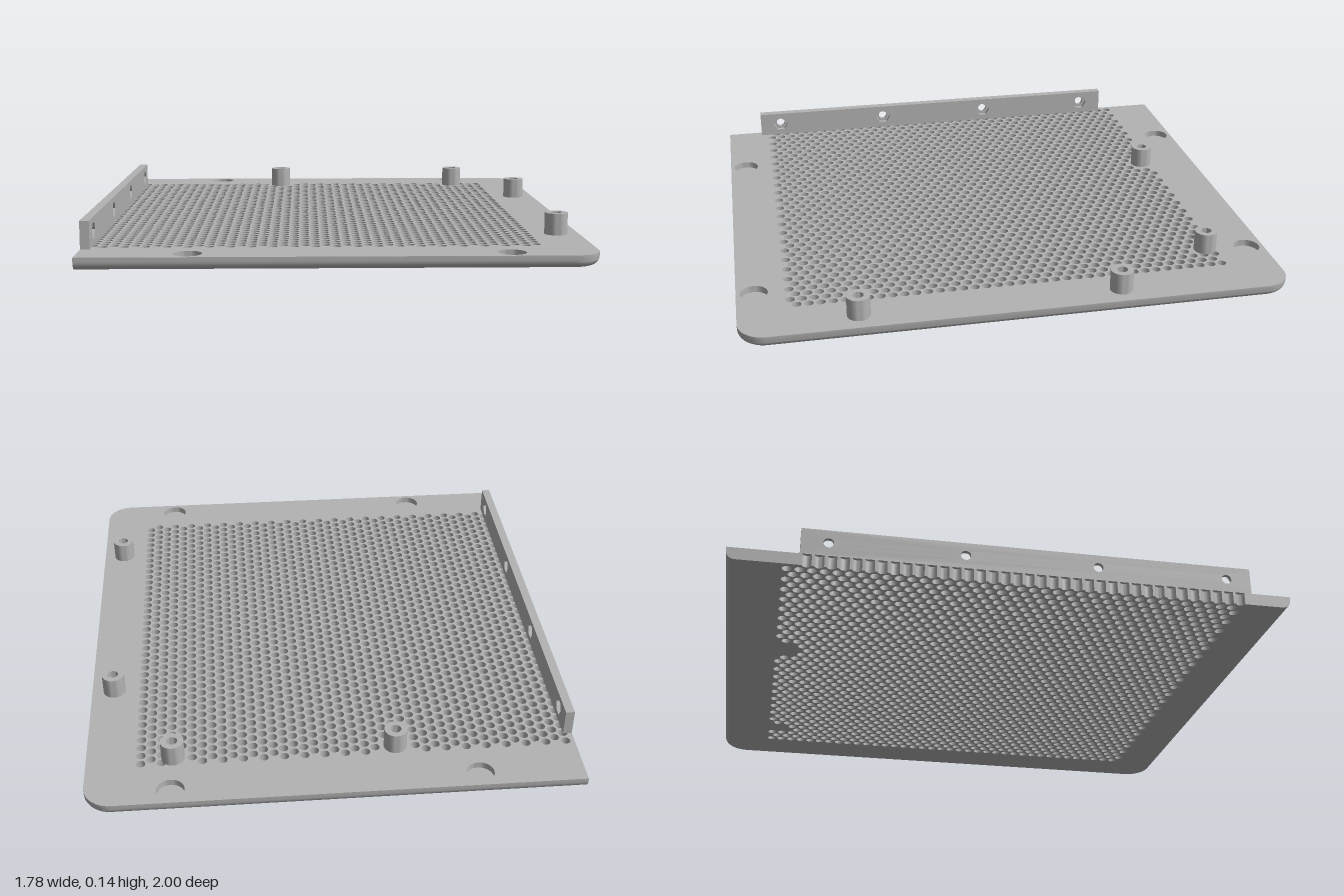
import * as THREE from 'three';
import { mergeGeometries, toCreasedNormals } from 'three/addons/utils/BufferGeometryUtils.js';

const W = 0.89, L = 1, T = 0.045, CORNER = 0.1, FILLET = 0.03;
const HOLE_R = 0.0175, SIDES = 10, DX = 0.0369, DZ = 0.0428, X0 = -0.857, Z0 = -0.795;
const bosses = [[-0.23, -0.77], [0.577, -0.77], [0.805, -0.37], [0.805, 0.58]];
const pockets = [[-0.515, -0.935], [0.585, -0.935], [-0.515, 0.935], [0.585, 0.935]];
const POCKET_R = 0.05, POCKET_D = 0.025;

// Staggered vent grid, left solid beneath the bosses
function ventCentres() {
  const out = [];
  for (let i = 0; i < 43; i++) {
    for (let j = 0; j < 38; j++) {
      const x = X0 + i * DX, z = Z0 + (j + (i % 2) / 2) * DZ;
      if (bosses.every(([bx, bz]) => Math.hypot(x - bx, z - bz) > 0.045)) out.push([x, z]);
    }
  }
  return out;
}

// Plate outline in (x, -z), inset by d on every side but the left one
function outline(d) {
  const p = [[-W, -L + d]];
  const arc = (cx, cy, r, a0, a1, n) => {
    for (let i = 0; i <= n; i++) {
      const a = a0 + (a1 - a0) * i / n;
      p.push([cx + r * Math.cos(a), cy + r * Math.sin(a)]);
    }
  };
  arc(W - CORNER, -L + CORNER, CORNER - d, -Math.PI / 2, 0, 12);
  arc(W - CORNER, L - CORNER, CORNER - d, 0, Math.PI / 2, 12);
  p.push([-W, L - d]);
  // Half vents breaking through the left edge
  const cx = X0 - DX, a = Math.acos((-W - cx) / HOLE_R);
  for (let j = 1; j < 38; j++) arc(cx, -(Z0 + (j + 0.5) * DZ), HOLE_R, a, -a, 6);
  return p;
}

// Same vertex angles as a lathe, so hole rims meet their walls
function circlePath(x, y, r, n, sign) {
  const pts = [];
  for (let i = 0; i < n; i++) {
    const a = i / n * Math.PI * 2;
    pts.push(new THREE.Vector2(x + r * Math.sin(a), y + sign * r * Math.cos(a)));
  }
  return new THREE.Path(pts);
}

// Flat face of the plate: sign -1 for the top, +1 for the underside
function face(d, sign, circles) {
  const shape = new THREE.Shape(outline(d).map(([x, y]) => new THREE.Vector2(x, -sign * y)));
  for (const [x, z, r, n] of circles) shape.holes.push(circlePath(x, sign * z, r, n, sign));
  return new THREE.ShapeGeometry(shape).rotateX(sign * Math.PI / 2);
}

// Outer edge with a rounded lower fillet
function rim() {
  const profile = [[0, T]];
  for (let i = 0; i <= 6; i++) {
    const a = i / 6 * Math.PI / 2;
    profile.push([FILLET * (1 - Math.cos(a)), FILLET * (1 - Math.sin(a))]);
  }
  const pos = [], idx = [];
  let n = 0;
  for (const [d, y] of profile) {
    const ring = outline(d);
    n = ring.length;
    for (const [x, s] of ring) pos.push(x, y, -s);
  }
  for (let k = 0; k < profile.length - 1; k++) {
    for (let i = 0; i < n; i++) {
      const j = (i + 1) % n, up = k * n, lo = up + n;
      idx.push(lo + i, lo + j, up + j, lo + i, up + j, up + i);
    }
  }
  const g = new THREE.BufferGeometry();
  g.setAttribute('position', new THREE.Float32BufferAttribute(pos, 3));
  g.setIndex(idx);
  return toCreasedNormals(g, 0.6);
}

function lathe(points, n) {
  return new THREE.LatheGeometry(points.map(([r, y]) => new THREE.Vector2(r, y)), n);
}

// One slab of the side flange, extruded along x
function flangeSlab(x, depth, holeR, sides) {
  const s = new THREE.Shape();
  s.moveTo(-0.855, T).lineTo(0.755, T).lineTo(0.755, 0.145).lineTo(-0.855, 0.145).closePath();
  for (const z of [0.765, 0.29, -0.185, -0.66]) {
    const pts = [];
    for (let i = 0; i < sides; i++) {
      const a = i / sides * Math.PI * 2;
      pts.push(new THREE.Vector2(-z + holeR * Math.cos(a), 0.096 + holeR * Math.sin(a)));
    }
    s.holes.push(new THREE.Path(pts));
  }
  const g = new THREE.ExtrudeGeometry(s, { depth, bevelEnabled: false });
  return toCreasedNormals(g.rotateY(Math.PI / 2).translate(x, 0, 0), 0.6);
}

export function createModel() {
  const model = new THREE.Group();
  model.name = 'ventedPanel';
  const grey = new THREE.MeshStandardMaterial({ color: 0xb3b3b3 });
  grey.name = 'grey';
  const add = (name, geometry, parent = model) => {
    const m = new THREE.Mesh(geometry, grey);
    m.name = name;
    parent.add(m);
    return m;
  };

  // Perforated plate
  const plate = new THREE.Group();
  plate.name = 'plate';
  model.add(plate);
  const centres = ventCentres();
  const vents = centres.map(([x, z]) => [x, z, HOLE_R, SIDES]);
  const recesses = pockets.map(([x, z]) => [x, z, POCKET_R, 32]);
  add('plateTop', face(0, -1, [...vents, ...recesses]).translate(0, T, 0), plate);
  add('plateUnderside', face(FILLET, 1, vents), plate);
  add('plateRim', rim(), plate);
  const wall = lathe([[HOLE_R, T], [HOLE_R, 0]], SIDES);
  add('ventWalls', mergeGeometries(centres.map(([x, z]) => wall.clone().translate(x, 0, z))), plate);

  // Shallow round recesses in the top face
  const pocket = toCreasedNormals(
    lathe([[POCKET_R, T], [POCKET_R, T - POCKET_D], [0, T - POCKET_D]], 32), 0.6);
  for (const [x, z] of pockets) add('recess', pocket, plate).position.set(x, 0, z);

  // Hollow screw bosses
  const boss = toCreasedNormals(
    lathe([[0, 0], [0.042, 0], [0.042, 0.08], [0.02, 0.08], [0.02, 0.005], [0, 0.005]], 32), 0.6);
  for (const [x, z] of bosses) add('screwBoss', boss, model).position.set(x, T, z);

  // Side flange: round bolt holes outside, hexagonal nut seats inside
  const flange = new THREE.Group();
  flange.name = 'sideFlange';
  model.add(flange);
  add('flangeOuter', flangeSlab(-W, 0.015, 0.018, 24), flange);
  add('flangeInner', flangeSlab(-W + 0.015, 0.018, 0.032, 6), flange);
  return model;
}
